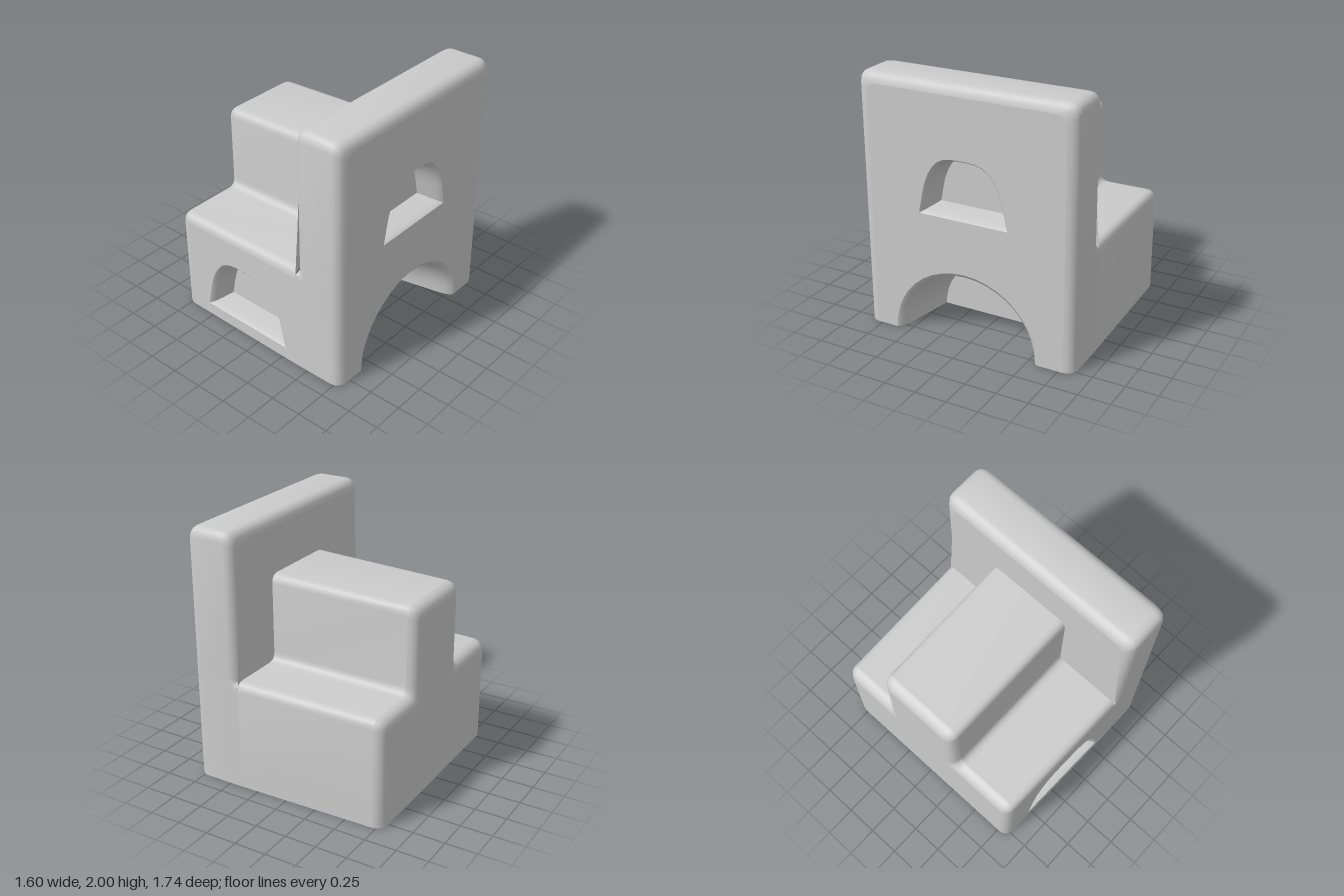
import * as THREE from 'three';
import { toCreasedNormals } from 'three/addons/utils/BufferGeometryUtils.js';

const HALF = 0.87;   // half depth of the body
const INNER = 0.4;   // x where the steps meet the tall panel
const B = 0.08;      // edge rounding

// Polyline with softened inner corners; the end points stay.
function round(points, r, seg = 4) {
  const p = points.map(([a, b]) => new THREE.Vector2(a, b));
  const out = [p[0]];
  for (let i = 1; i < p.length - 1; i++) {
    const towards = (q) => {
      const d = q.clone().sub(p[i]);
      return p[i].clone().add(d.setLength(Math.min(r, d.length() * 0.45)));
    };
    out.push(...new THREE.QuadraticBezierCurve(towards(p[i - 1]), p[i], towards(p[i + 1])).getPoints(seg));
  }
  out.push(p[p.length - 1]);
  return out;
}

// Slight narrowing of the steps away from the panel.
function finish(geometry) {
  const pos = geometry.attributes.position;
  for (let i = 0; i < pos.count; i++) {
    const t = Math.min(0, pos.getX(i) - INNER);
    pos.setY(i, pos.getY(i) * (1 + 0.02 * t));
    pos.setZ(i, pos.getZ(i) * (1 + 0.025 * t));
  }
  return toCreasedNormals(geometry, 0.7);
}

// Surface through rings of [x, y, z] points.
function loft(rings) {
  const n = rings[0].length;
  const index = [];
  for (let i = 0; i < rings.length - 1; i++) {
    for (let j = 0; j < n - 1; j++) {
      const a = i * n + j;
      index.push(a, a + 1, a + n, a + 1, a + n + 1, a + n);
    }
  }
  const g = new THREE.BufferGeometry();
  g.setAttribute('position', new THREE.Float32BufferAttribute(rings.flat(2), 3));
  g.setIndex(index);
  return finish(g);
}

// Flat face from an outline, placed by a mapping to [x, y, z].
function face(outline, place, holes = []) {
  const shape = new THREE.Shape(outline);
  shape.holes = holes.map((h) => new THREE.Path(h));
  const g = new THREE.ShapeGeometry(shape);
  const pos = g.attributes.position;
  for (let i = 0; i < pos.count; i++) pos.setXYZ(i, ...place(pos.getX(i), pos.getY(i)));
  return finish(g);
}

// Outlines in (z, y), inset by d and open at the bottom.
const panelOutline = (d) => round([
  [HALF - d, 0], [HALF - d, 0.84], [HALF - d, 0.94], [HALF - d, 2 - d],
  [d - HALF, 2 - d], [d - HALF, 0.94], [d - HALF, 0.84], [d - HALF, 0],
], 0.08);

const stepOutline = (d) => round([
  [HALF - d, 0], [HALF - d, 0.87 - d], [0.31 - d, 0.87 - d], [0.31 - d, 1.56 - d],
  [d - 0.39, 1.56 - d], [d - 0.39, 0.87 - d], [d - HALF, 0.87 - d], [d - HALF, 0],
], 0.07);

// Niche with sloping sides, straight sill and rounded top.
const nicheOutline = (a, h) => [
  ...round([[-a, 0], [-0.84 * a, 0.62 * h], [-0.5 * a, h], [0.5 * a, h], [0.84 * a, 0.62 * h], [a, 0]], 0.14),
  new THREE.Vector2(-a, 0),
];

export function createModel() {
  const group = new THREE.Group();
  const material = new THREE.MeshStandardMaterial({ color: 0xcccccc, side: THREE.DoubleSide });
  const add = (name, geometry) => {
    const mesh = new THREE.Mesh(geometry, material);
    mesh.name = name;
    group.add(mesh);
  };
  const at = (x) => (p) => [x, p.y, p.x];
  const arc = [0, 1, 2, 3, 4].map((i) => (i / 4) * Math.PI / 2);

  // Tapered recess: steps are [scale, depth], centred on height cv.
  const recess = (name, outline, cv, steps, place) => {
    const scaled = (k) => outline.map((p) => new THREE.Vector2(p.x * k, cv + (p.y - cv) * k));
    add(name + 'Sides', loft(steps.map(([k, w]) => scaled(k).map((p) => place(p.x, p.y, w)))));
    const [k, w] = steps[steps.length - 1];
    add(name + 'Back', face(scaled(k), (u, v) => place(u, v, w)));
  };
  const nicheSteps = [[1, 0], [0.96, 0.012], [0.92, 0.04], [0.87, 0.1], [0.82, 0.2]];

  // Tall panel: rounded rim on the outer side, and above the steps on the inner side
  const full = panelOutline(0);
  const inset = panelOutline(B);
  const blend = (k, test) => full.map((p, i) => (test(p) ? p.clone().lerp(inset[i], k) : p));
  const rim = [];
  for (const t of [...arc].reverse()) {
    rim.push(blend(1 - Math.cos(t), (p) => p.y > 0.86).map(at(INNER + B * (1 - Math.sin(t)))));
  }
  for (const t of arc) rim.push(blend(1 - Math.cos(t), () => true).map(at(0.8 - B * (1 - Math.sin(t)))));
  add('panelRim', loft(rim));

  // Panel inner face above the step outline
  const step = stepOutline(0);
  add('panelInnerFace', face([
    ...blend(1, (p) => p.y > 0.86).filter((p) => p.y > 0.81),
    ...step.filter((p) => p.y > 0.7).reverse(),
  ], (u, v) => [INNER, v, u]));

  // Panel outer face with a window niche and a floor arch
  const arch = [];
  for (let i = 0; i <= 20; i++) {
    const a = Math.PI * (1 - i / 20);
    arch.push(new THREE.Vector2(0.6 * Math.cos(a), 0.58 * Math.sin(a)));
  }
  const niche = nicheOutline(0.365, 0.46);
  const moved = (pts, u, v) => pts.map((p) => new THREE.Vector2(p.x + u, p.y + v));
  add('panelOuterFace', face([...inset, ...moved(arch, 0.015, 0)],
    (u, v) => [0.8, v, u], [moved(niche.slice(0, -1), 0.015, 1)]));
  recess('windowNiche', niche, 0.2, nicheSteps, (u, v, w) => [0.8 - w, v + 1, u + 0.015]);
  recess('floorArch', arch, 0, [[1, 0], [0.96, 0.015], [0.93, 0.05], [0.9, 0.12], [0.78, 0.5]],
    (u, v, w) => [0.8 - w, v, u + 0.015]);

  // Stepped body with rounded end
  add('steps', loft([INNER, B - 0.8].map((x) => step.slice(1).map(at(x)))));
  add('stepsEndRim', loft(arc.map((t) =>
    stepOutline(B * (1 - Math.sin(Math.PI / 2 - t))).map(at(-0.8 + B * (1 - Math.sin(t)))))
    .map((ring, i) => stepOutline(B * (1 - Math.cos(arc[i]))).map(at(-0.8 + B * (1 - Math.sin(arc[i])))))));
  add('stepsEndFace', face(stepOutline(B), (u, v) => [-0.8, v, u]));

  // Front wall with its niche
  const frontNiche = nicheOutline(0.41, 0.5);
  const wall = [[B - 0.8, 0], [INNER, 0], [INNER, 0.8], [B - 0.8, 0.8]].map((p) => new THREE.Vector2(...p));
  add('frontWall', face(wall, (u, v) => [u, v, HALF], [moved(frontNiche.slice(0, -1), -0.13, 0.1)]));
  recess('frontNiche', frontNiche, 0.15, nicheSteps, (u, v, w) => [u - 0.13, v + 0.1, HALF - w]);

  return group;
}
